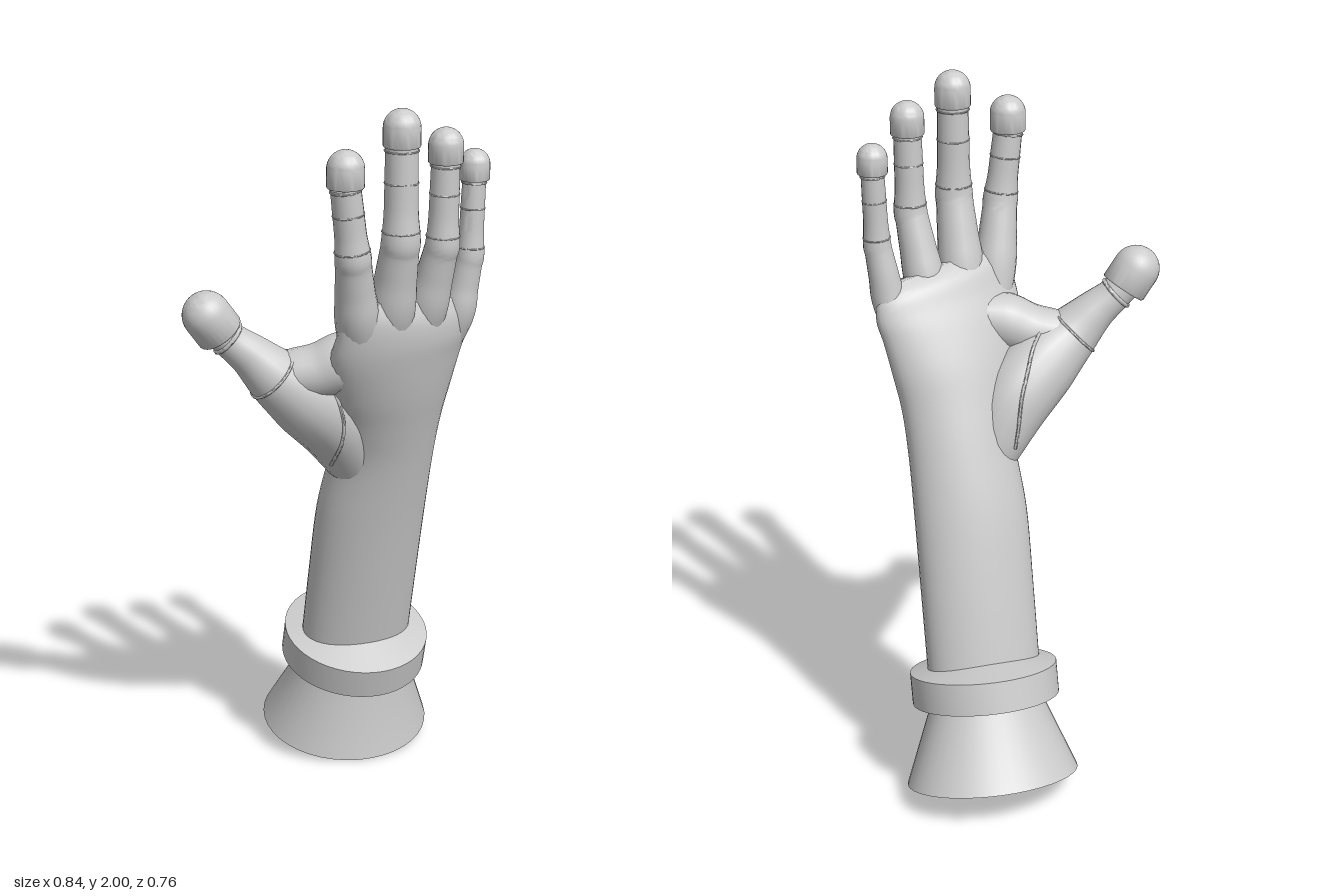
import * as THREE from 'three';
import { toCreasedNormals } from 'three/addons/utils/BufferGeometryUtils.js';

const material = new THREE.MeshStandardMaterial({ color: 0xcccccc });
const TILT = 0.271; // forward lean of the whole arm
const V = (x, y, z) => new THREE.Vector3(x, y, z);

function addMesh(parent, name, geometry, crease = 0.6) {
  const mesh = new THREE.Mesh(toCreasedNormals(geometry, crease), material);
  mesh.name = name;
  parent.add(mesh);
  return mesh;
}

// Skin a stack of closed cross-sections, closing the first and last with fans
function loft(sections) {
  const n = sections[0].length;
  const positions = [];
  const index = [];
  sections.forEach((s) => s.forEach((p) => positions.push(p.x, p.y, p.z)));
  for (let i = 0; i < sections.length - 1; i++) {
    for (let j = 0; j < n; j++) {
      const k = (j + 1) % n;
      const a = i * n + j, b = i * n + k, c = a + n, d = b + n;
      index.push(a, c, b, b, c, d);
    }
  }
  [0, sections.length - 1].forEach((row, end) => {
    const mid = sections[row].reduce((m, p) => m.add(p), V(0, 0, 0)).divideScalar(n);
    const centre = positions.length / 3;
    positions.push(mid.x, mid.y, mid.z);
    for (let j = 0; j < n; j++) {
      const a = row * n + j, b = row * n + ((j + 1) % n);
      index.push(centre, end ? b : a, end ? a : b);
    }
  });
  const g = new THREE.BufferGeometry();
  g.setAttribute('position', new THREE.Float32BufferAttribute(positions, 3));
  g.setIndex(index);
  return g;
}

// Spline every column of a table of rows to get count + 1 smooth rows
function smoothRows(rows, count) {
  const curves = rows[0].map((_, c) =>
    new THREE.SplineCurve(rows.map((r, i) => new THREE.Vector2(i, r[c]))));
  return Array.from({ length: count + 1 }, (_, i) =>
    curves.map((curve) => curve.getPoint(i / count).y));
}

// Oval section square to the leaning arm: x, y, z, half width, half depth, yaw, roll
function armSection([x, y, z, rx, rz, yaw = 0, roll = 0], sides = 40) {
  return Array.from({ length: sides }, (_, j) => {
    const a = (j / sides) * Math.PI * 2;
    return V(rx * Math.cos(a), 0, rz * Math.sin(a))
      .applyEuler(new THREE.Euler(TILT, yaw, roll, 'XYZ')).add(V(x, y, z));
  });
}

// Round section square to a finger's path
function limbSection([x, y, z, r], direction, sides = 20) {
  const u = direction.clone().cross(V(0, 0, 1)).normalize();
  const v = u.clone().cross(direction);
  return Array.from({ length: sides }, (_, j) => {
    const a = (j / sides) * Math.PI * 2;
    return V(x, y, z).addScaledVector(u, r * Math.cos(a)).addScaledVector(v, r * Math.sin(a));
  });
}

function limbSections(rows, count) {
  const smooth = smoothRows(rows, count);
  return smooth.map((row, i) => {
    const p = smooth[Math.max(i - 1, 0)], q = smooth[Math.min(i + 1, count)];
    return limbSection(row, V(q[0] - p[0], q[1] - p[1], q[2] - p[2]).normalize());
  });
}

// Domed fingertip on a short straight band
function addTip(parent, name, base, direction, r) {
  const profile = [new THREE.Vector2(0, 0), new THREE.Vector2(r * 0.96, 0), new THREE.Vector2(r, r * 0.06)];
  for (let i = 0; i <= 10; i++) {
    const a = (i / 10) * Math.PI / 2;
    profile.push(new THREE.Vector2(i === 10 ? 0 : r * Math.cos(a), r + r * Math.sin(a)));
  }
  const tip = addMesh(parent, name, new THREE.LatheGeometry(profile, 28));
  tip.position.copy(base);
  tip.quaternion.setFromUnitVectors(V(0, 1, 0), direction.clone().normalize());
}

// Thin raised line through points
function addSeam(parent, name, points, closed, r = 0.005) {
  const curve = new THREE.CatmullRomCurve3(points, closed);
  addMesh(parent, name, new THREE.TubeGeometry(curve, 48, r, 6, closed), 1.2);
}

function addFinger(parent, name, base, joint, tip, r, capR) {
  const at = (a, b, t, radius) => [0, 1, 2].map((k) => a[k] + (b[k] - a[k]) * t).concat(radius);
  const rows = [
    [base[0] * 0.8 + 0.03, base[1] - 0.18, base[2] - 0.06, r * 0.7],
    [...base, r * 1.36],
    at(base, joint, 0.5, r * 1.25),
    at(base, joint, 0.85, r * 1.14),
    [...joint, r * 1.14],
    at(joint, tip, 0.3, r),
    at(joint, tip, 0.65, r * 0.97),
    [...tip, r * 0.94],
  ];
  const finger = new THREE.Group();
  finger.name = name;
  parent.add(finger);
  addMesh(finger, name + 'Shaft', loft(limbSections(rows, 35)), 1);
  // joint bands
  const direction = V(...tip).sub(V(...joint)).normalize();
  [[0.1, 1.09], [0.62, 0.97], [0.96, 0.98]].forEach(([t, k], i) =>
    addSeam(finger, name + 'Band' + (i + 1), limbSection(at(joint, tip, t, r * k), direction), true, 0.002));
  addTip(finger, name + 'Tip', V(...tip), V(0, 1, 0), capR);
}

export function createModel() {
  const model = new THREE.Group();
  model.name = 'armSculpture';

  // Hollow flared foot: inside surface downwards, then outside upwards
  const along = (s, rx, rz) =>
    armSection([0.165, 0.06 + s * Math.cos(TILT), -0.17 + s * Math.sin(TILT), rx, rz]);
  addMesh(model, 'flaredFoot', loft([
    along(0.26, 0.115, 0.09), along(0, 0.205, 0.178),
    along(0, 0.247, 0.218), along(0.24, 0.155, 0.12), along(0.32, 0.15, 0.105),
  ]));

  // Cuff ring around the end of the forearm
  const cuffProfile = [[0.165, 0.255], [0.175, 0.232], [0.209, 0.232], [0.209, 0.322],
    [0.1, 0.352], [0.1, 0.3], [0.165, 0.3], [0.165, 0.255]];
  const cuff = addMesh(model, 'cuff',
    new THREE.LatheGeometry(cuffProfile.map(([x, y]) => new THREE.Vector2(x, y)), 48), 0.2);
  cuff.position.set(0.165, 0.06, -0.172);
  cuff.rotation.x = TILT;

  // Forearm, wrist and palm in one skin
  const armRows = [
    [0.163, 0.36, -0.088, 0.163, 0.109, 0, 0],
    [0.163, 0.58, -0.035, 0.163, 0.109, 0, 0],
    [0.163, 0.8, 0.022, 0.162, 0.107, 0, 0],
    [0.17, 0.98, 0.077, 0.155, 0.102, 0.04, 0],
    [0.165, 1.1, 0.12, 0.168, 0.1, 0.12, 0],
    [0.158, 1.2, 0.159, 0.195, 0.098, 0.2, -0.04],
    [0.155, 1.3, 0.199, 0.22, 0.089, 0.25, -0.1],
    [0.165, 1.37, 0.225, 0.228, 0.078, 0.27, -0.15],
    [0.168, 1.43, 0.242, 0.22, 0.062, 0.28, -0.2],
    [0.168, 1.47, 0.254, 0.185, 0.03, 0.28, -0.23],
  ];
  addMesh(model, 'forearmAndPalm', loft(smoothRows(armRows, 54).map((r) => armSection(r))), 1);

  // Fingers: base, middle joint, tip start, shaft radius, tip radius
  addFinger(model, 'indexFinger', [0.005, 1.42, 0.278], [-0.028, 1.62, 0.325], [-0.052, 1.81, 0.33], 0.043, 0.05);
  addFinger(model, 'middleFinger', [0.108, 1.43, 0.265], [0.111, 1.65, 0.318], [0.112, 1.9, 0.315], 0.046, 0.05);
  addFinger(model, 'ringFinger', [0.222, 1.42, 0.238], [0.246, 1.62, 0.288], [0.25, 1.84, 0.29], 0.041, 0.047);
  addFinger(model, 'littleFinger', [0.335, 1.38, 0.194], [0.364, 1.56, 0.213], [0.373, 1.765, 0.21], 0.034, 0.042);

  // Thumb with its fleshy mound
  const thumb = new THREE.Group();
  thumb.name = 'thumb';
  model.add(thumb);
  const thumbSections = limbSections([
    [0.11, 0.88, 0.058, 0.05],
    [0.07, 0.99, 0.078, 0.086],
    [0.005, 1.1, 0.105, 0.108],
    [-0.085, 1.185, 0.13, 0.105],
    [-0.17, 1.253, 0.14, 0.082],
    [-0.238, 1.32, 0.13, 0.06],
    [-0.285, 1.36, 0.12, 0.05],
    [-0.322, 1.395, 0.112, 0.046],
  ], 42);
  addMesh(thumb, 'thumbShaft', loft(thumbSections), 1);
  addTip(thumb, 'thumbTip', V(-0.318, 1.388, 0.11), V(-0.57, 0.8, 0), 0.066);
  addSeam(thumb, 'thumbBand', thumbSections[38], true, 0.006);
  addSeam(thumb, 'thumbRootSeam', thumbSections[25], true, 0.004);

  // Web of flesh between thumb and index finger
  addMesh(thumb, 'thumbWeb', loft(limbSections([
    [-0.17, 1.26, 0.14, 0.06],
    [-0.12, 1.262, 0.152, 0.07],
    [-0.06, 1.272, 0.175, 0.075],
    [0.01, 1.3, 0.2, 0.08],
    [0.09, 1.32, 0.21, 0.06],
  ], 20)), 1);

  // Seams sweeping over the thumb mound from the web towards the wrist
  const sweep = (count, rowStep, sideStep) => Array.from({ length: count }, (_, i) =>
    thumbSections[24 - i * rowStep][(20 + i * sideStep) % 20].clone());
  addSeam(thumb, 'moundSeamPalm', sweep(7, 3, -1), false);
  addSeam(thumb, 'moundSeamBack', sweep(9, 2, 1), false);

  return model;
}
